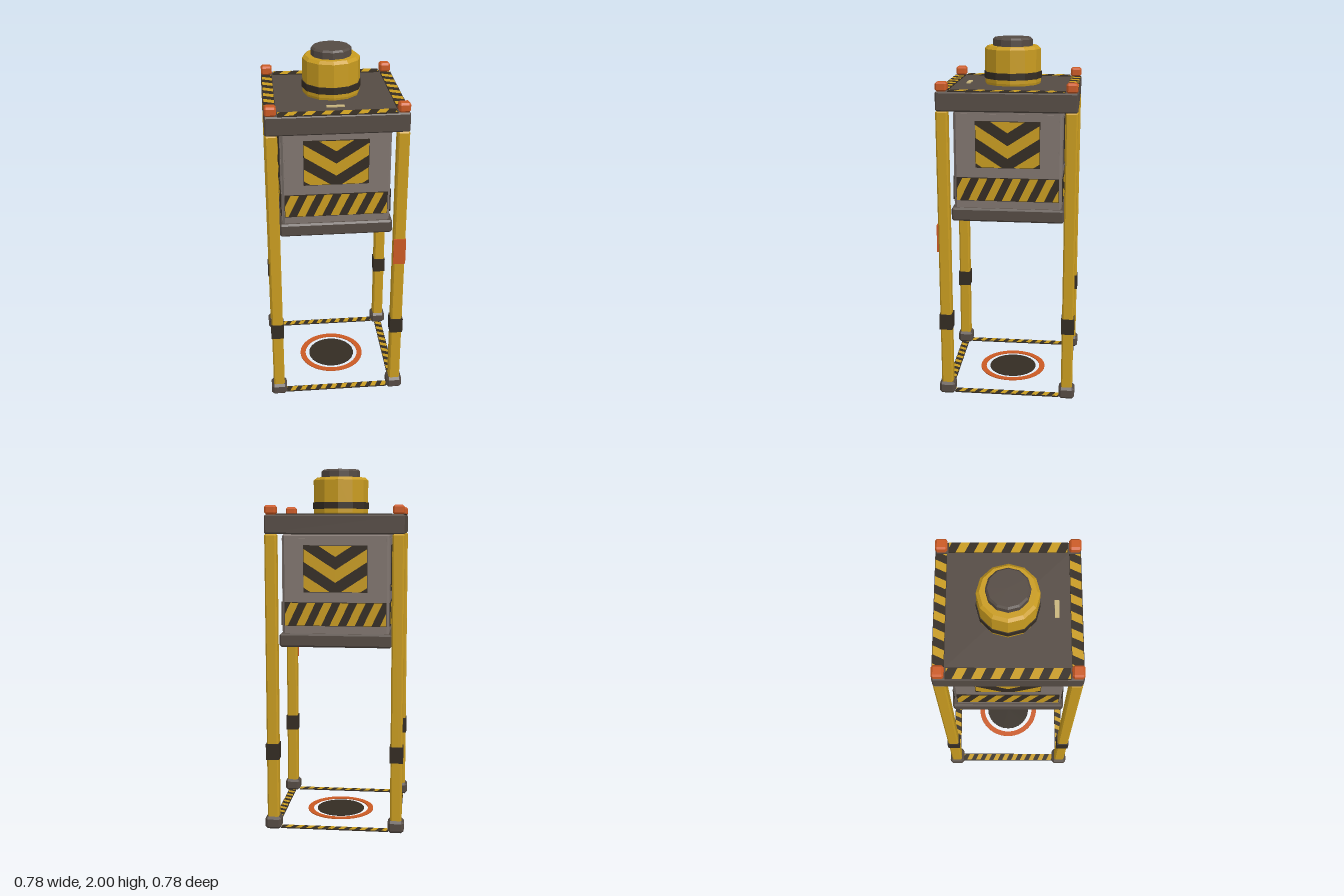
import * as THREE from 'three';
import { ConvexGeometry } from 'three/addons/geometries/ConvexGeometry.js';

const mat = (name, color, extra = {}) => new THREE.MeshStandardMaterial({ name, color, ...extra });

// Box with cut edges, standing on y0
function chamferBox(w, h, d, c) {
  const pts = [];
  const [x, y, z] = [w / 2, h / 2, d / 2];
  for (const sx of [-1, 1]) for (const sy of [-1, 1]) for (const sz of [-1, 1]) {
    pts.push(new THREE.Vector3(sx * x, sy * (y - c), sz * (z - c)));
    pts.push(new THREE.Vector3(sx * (x - c), sy * y, sz * (z - c)));
    pts.push(new THREE.Vector3(sx * (x - c), sy * (y - c), sz * z));
  }
  return new ConvexGeometry(pts);
}

// Keep the part of a polygon where sign * p[axis] <= limit
function clip(poly, axis, sign, limit) {
  const out = [];
  poly.forEach((a, i) => {
    const b = poly[(i + 1) % poly.length];
    const da = limit - sign * a[axis], db = limit - sign * b[axis];
    if (da >= 0) out.push(a);
    if (da * db < 0) out.push(a.clone().lerp(b, da / (da - db)));
  });
  return out;
}

function clippedShapes(polys, w, h) {
  const shapes = [];
  for (let p of polys) {
    for (const s of [-1, 1]) {
      p = clip(p, 'x', s, w / 2);
      p = clip(p, 'y', s, h / 2);
    }
    if (p.length > 2) shapes.push(new THREE.Shape(p));
  }
  return new THREE.ShapeGeometry(shapes);
}

const V = (x, y) => new THREE.Vector2(x, y);

// Slanted yellow bars
function bars(w, h, period, start) {
  const polys = [], k = 0.24 * h, n = Math.ceil(w / period) + 2;
  for (let i = -2; i < n; i++) {
    const a = -w / 2 + start + i * period, b = a + period / 2;
    polys.push([V(a - k, -h / 2), V(b - k, -h / 2), V(b + k, h / 2), V(a + k, h / 2)]);
  }
  return clippedShapes(polys, w, h);
}

// Yellow V bars pointing down
function chevrons(w, h) {
  const polys = [], t = 0.07, rise = 0.65 * w / 2;
  for (let i = 0; i < 3; i++) {
    const y = -0.215 + i * 2 * t;
    for (const s of [-1, 1]) {
      const p = [V(0, y), V(s * w / 2, y + rise), V(s * w / 2, y + t + rise), V(0, y + t)];
      polys.push(s > 0 ? p : p.reverse());
    }
  }
  return clippedShapes(polys, w, h);
}

export function createModel() {
  const yellow = mat('safety yellow', 0xc99c20);
  const dark = mat('dark stripe', 0x342c23);
  const steel = mat('dark steel', 0x554b44);
  const body = mat('grey body', 0x80756f);
  const orange = mat('signal orange', 0xcb5a24);
  const cream = mat('cream label', 0xc9b57d);
  const model = new THREE.Group();

  const add = (parent, name, geo, m, x = 0, y = 0, z = 0) => {
    const mesh = new THREE.Mesh(geo, m);
    mesh.name = name;
    mesh.position.set(x, y, z);
    parent.add(mesh);
    return mesh;
  };

  // Dark plate with a painted yellow pattern on its +z face
  const painted = (parent, name, w, h, pattern, x, y, z) => {
    const g = new THREE.Group();
    g.name = name;
    add(g, name + 'Plate', new THREE.BoxGeometry(w, h, 0.005), dark);
    add(g, name + 'Paint', pattern, yellow, 0, 0, 0.0035);
    g.position.set(x, y, z);
    parent.add(g);
    return g;
  };

  // Four corner posts with feet, bands and top lamps
  for (const sx of [-1, 1]) for (const sz of [-1, 1]) {
    const post = new THREE.Group();
    post.name = 'cornerPost';
    post.position.set(sx * 0.343, 0, sz * 0.343);
    add(post, 'post', chamferBox(0.064, 1.6, 0.064, 0.008), yellow, 0, 0.845, 0);
    add(post, 'foot', chamferBox(0.09, 0.07, 0.09, 0.014), steel, 0, 0.036, 0);
    add(post, 'postBand', new THREE.BoxGeometry(0.073, 0.09, 0.073), dark, 0, 0.445, 0);
    add(post, 'cornerLamp', chamferBox(0.062, 0.05, 0.062, 0.01), orange, 0, 1.772, 0);
    model.add(post);
  }
  add(model, 'postSign', new THREE.BoxGeometry(0.068, 0.155, 0.008), orange, 0.343, 0.94, 0.378);

  // Top plate
  add(model, 'topPlate', chamferBox(0.75, 0.105, 0.75, 0.008), steel, 0, 1.695, 0);
  add(model, 'topLabel', new THREE.BoxGeometry(0.095, 0.006, 0.023), cream, 0, 1.75, 0.245);

  // Hanging block
  add(model, 'blockBody', chamferBox(0.585, 0.56, 0.585, 0.012), body, 0, 1.365, 0);
  add(model, 'blockBase', chamferBox(0.62, 0.075, 0.62, 0.01), steel, 0, 1.062, 0);

  // Decorated sides, repeated on all four faces
  for (let i = 0; i < 4; i++) {
    const side = new THREE.Group();
    side.name = 'decoratedSide';
    side.rotation.y = i * Math.PI / 2;
    add(side, 'sidePanel', new THREE.BoxGeometry(0.55, 0.51, 0.006), body, 0, 1.365, 0.293);
    painted(side, 'chevronSign', 0.35, 0.255, chevrons(0.345, 0.25), 0, 1.455, 0.298);
    painted(side, 'warningBand', 0.56, 0.13, bars(0.555, 0.125, 0.092, 0), 0, 1.207, 0.298);
    const top = painted(side, 'topStripe', 0.615, 0.06, bars(0.61, 0.056, 0.094, 0.045), 0, 1.749, 0.343);
    const ground = painted(side, 'groundStripe', 0.6, 0.045, bars(0.6, 0.04, 0.06, 0.03), 0, 0.004, 0.343);
    top.rotation.x = ground.rotation.x = -Math.PI / 2;
    model.add(side);
  }

  // Drive housing on top, twelve-sided
  const lathe = (pts) => {
    const g = new THREE.LatheGeometry(pts.map(p => V(...p)), 12).toNonIndexed();
    g.computeVertexNormals();
    return g;
  };
  add(model, 'driveHousing', lathe([[0, 1.745], [0.152, 1.745], [0.156, 1.76], [0.156, 1.94],
    [0.14, 1.955], [0, 1.955]]), yellow);
  add(model, 'housingBand', lathe([[0.15, 1.78], [0.161, 1.78], [0.161, 1.817], [0.15, 1.817]]), dark);
  add(model, 'driveCap', lathe([[0, 1.95], [0.11, 1.95], [0.11, 1.99], [0.1, 2], [0, 2]]), steel);

  // Target on the ground
  add(model, 'targetDisc', new THREE.CylinderGeometry(0.14, 0.14, 0.004, 24), dark, 0, 0.004, 0);
  const ring = new THREE.Shape().absarc(0, 0, 0.195, 0, Math.PI * 2);
  ring.holes.push(new THREE.Path().absarc(0, 0, 0.163, 0, Math.PI * 2, true));
  const ringGeo = new THREE.ExtrudeGeometry(ring, { depth: 0.005, bevelEnabled: false, curveSegments: 24 });
  add(model, 'targetRing', ringGeo.rotateX(-Math.PI / 2), orange, 0, 0.002, 0);

  return model;
}
